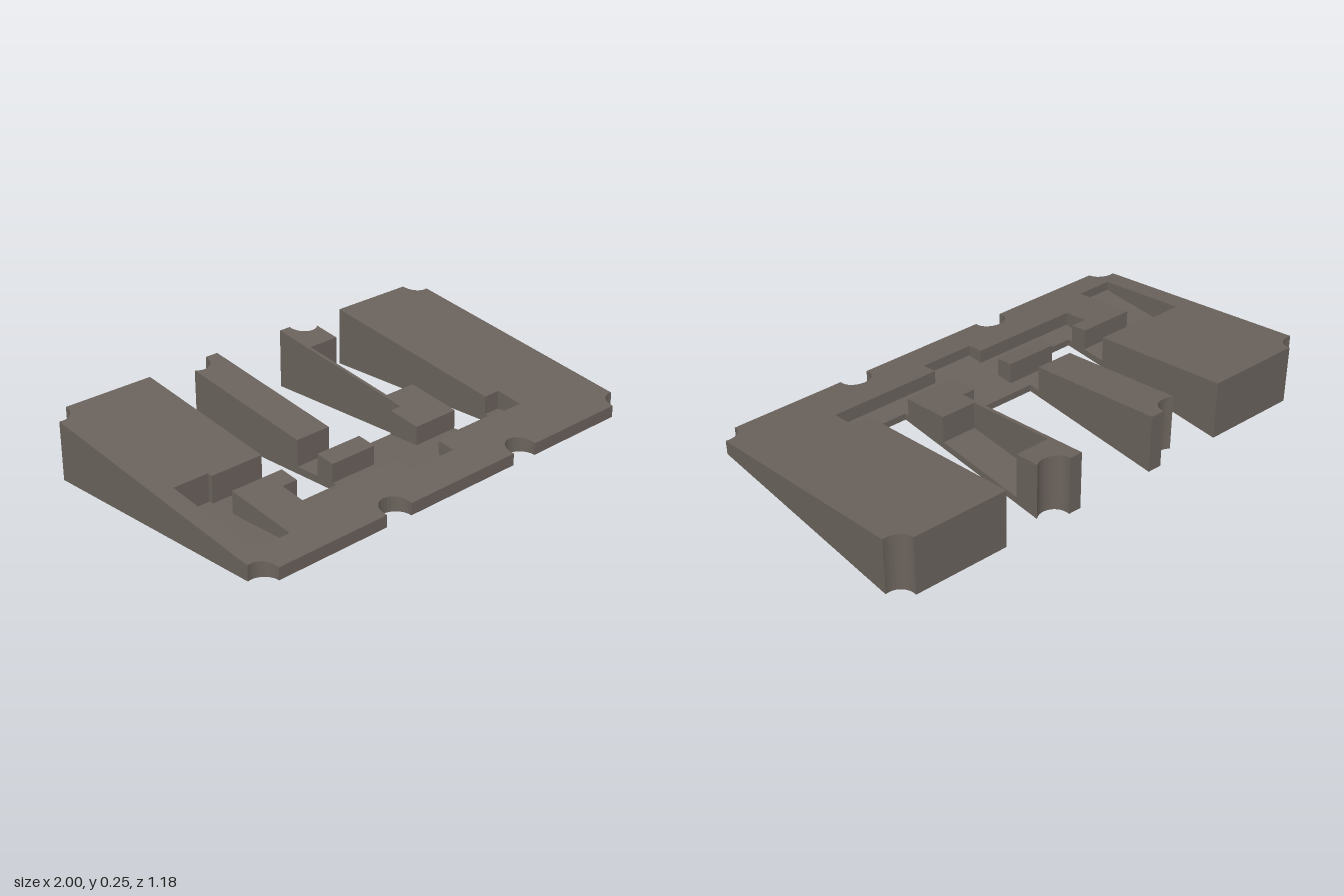
import * as THREE from 'three';

const R = 0.065;       // radius of the round edge notches
const FLOOR = 0.03;    // height of the pocket floors
const slopeY = z => 0.1525 - 0.1737 * z;

// Round notch as points [x, z]; angles in degrees
function arc(cx, cz, from, to, n = 14) {
  const pts = [];
  for (let i = 0; i <= n; i++) {
    const a = THREE.MathUtils.degToRad(from + (to - from) * i / n);
    pts.push([cx + R * Math.cos(a), cz + R * Math.sin(a)]);
  }
  return pts;
}

// Upright prism over a plan outline, flat on top or cut by the slope
function prism(outline, y0, y1) {
  const shape = new THREE.Shape(outline.map(([x, z]) => new THREE.Vector2(x, -z)));
  const geo = new THREE.ExtrudeGeometry(shape, { depth: 1, bevelEnabled: false });
  geo.rotateX(-Math.PI / 2);
  const p = geo.attributes.position;
  for (let i = 0; i < p.count; i++) {
    const top = y1 === undefined ? slopeY(p.getZ(i)) : y1;
    p.setY(i, p.getY(i) > 0.5 ? top : y0);
  }
  geo.computeVertexNormals();
  return geo;
}

export function createModel() {
  const model = new THREE.Group();
  model.name = 'wedgePlate';
  const body = new THREE.MeshStandardMaterial({ color: 0x6a625c });
  body.name = 'warm dark grey';
  const add = (name, outline, y0, y1) => {
    const mesh = new THREE.Mesh(prism(outline, y0, y1), body);
    mesh.name = name;
    model.add(mesh);
  };

  // Shared outline pieces: notched corners, front edge and finger ends
  const backLeft = arc(-0.985, -0.585, 103.3, -4.4);
  const rightSideAndFront = [
    ...arc(0.985, -0.585, 184.4, 76.7),
    ...arc(0.985, 0.585, -76.7, -184.4),
    ...arc(0.36, 0.575, 13.3, -193.3),
    ...arc(-0.3375, 0.575, 13.3, -193.3),
    ...arc(-0.985, 0.585, 4.4, -103.3),
  ];
  const leftFingerEnd = arc(-0.3, -0.585, 128, -4.4);
  const rightFingerEnd = arc(0.29, -0.585, 184.4, 46.2);

  // Thin base carrying the pocket floors, with the three slots cut through
  add('base', [
    ...backLeft,
    [-0.52, -0.59], [-0.52, 0.27], [-0.34, 0.27],
    ...leftFingerEnd,
    [-0.175, -0.59], [-0.175, 0.11], [0.17, 0.11], [0.17, -0.59],
    ...rightFingerEnd,
    [0.335, 0.27], [0.52, 0.27], [0.52, -0.59],
    ...rightSideAndFront,
  ], 0, FLOOR);

  // Sloped outer frame around the side pocket and the cross-shaped pocket
  add('outerFrame', [
    ...backLeft,
    [-0.52, -0.59], [-0.52, 0.06], [-0.76, 0.06], [-0.76, 0.04],
    [-0.92, 0.04], [-0.92, 0.47], [-0.76, 0.47], [-0.76, 0.17],
    [-0.52, 0.17], [-0.52, 0.25], [-0.59, 0.25], [-0.59, 0.365],
    [-0.12, 0.365], [-0.12, 0.44], [0.115, 0.44], [0.115, 0.365],
    [0.6, 0.365], [0.6, 0.25], [0.52, 0.25], [0.52, -0.59],
    ...rightSideAndFront,
  ], FLOOR);

  // Small block between the channel and the cross-shaped pocket
  add('islandBlock', [[-0.34, 0.17], [-0.12, 0.17], [-0.12, 0.25], [-0.34, 0.25]], FLOOR);

  // Plain finger
  add('plainFinger', [
    ...leftFingerEnd, [-0.175, -0.59], [-0.175, 0.06], [-0.34, 0.06],
  ], FLOOR);

  // Finger with a pocket open to the slot beside it
  add('pocketFinger', [
    [0.335, 0.25], [0.115, 0.25], [0.115, 0.11], [0.17, 0.11], [0.17, -0.59],
    ...rightFingerEnd,
    [0.335, -0.42], [0.185, -0.42], [0.185, 0.02], [0.335, 0.02],
  ], FLOOR);

  return model;
}
